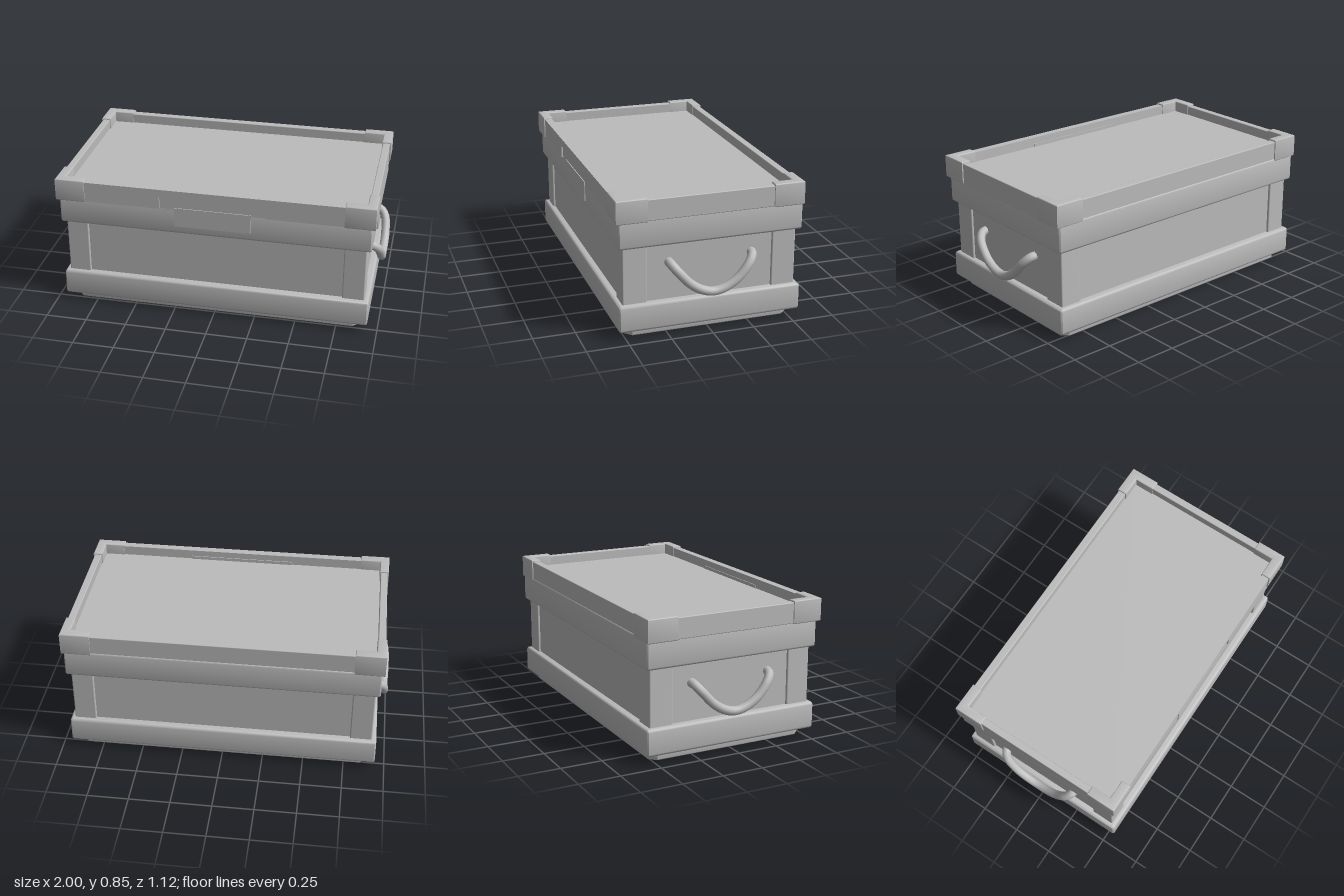
import * as THREE from 'three';
import { toCreasedNormals } from 'three/addons/utils/BufferGeometryUtils.js';
import { RoundedBoxGeometry } from 'three/addons/geometries/RoundedBoxGeometry.js';

const grey = new THREE.MeshStandardMaterial({ color: 0xbcbcbc });
grey.name = 'crate grey';

export function createModel() {
  const group = new THREE.Group();
  const add = (name, geometry) => {
    const mesh = new THREE.Mesh(geometry, grey);
    mesh.name = name;
    group.add(mesh);
    return mesh;
  };

  // Box given by its limits on each axis, with an optional small edge radius
  const block = (name, x0, x1, y0, y1, z0, z1, r = 0) => {
    const size = [x1 - x0, y1 - y0, z1 - z0];
    const geo = r ? new RoundedBoxGeometry(...size, 2, r) : new THREE.BoxGeometry(...size);
    geo.translate((x0 + x1) / 2, (y0 + y1) / 2, (z0 + z1) / 2);
    return add(name, geo);
  };

  // Outline in (x, z), extruded upwards from y0 to y1 with a soft edge
  const slab = (name, points, y0, y1, bevel) => {
    const shape = new THREE.Shape(points.map(([x, z]) => new THREE.Vector2(x, -z)));
    const geo = new THREE.ExtrudeGeometry(shape, {
      depth: y1 - y0 - 2 * bevel, bevelEnabled: true, bevelSize: bevel,
      bevelThickness: bevel, bevelOffset: -bevel, bevelSegments: 3,
    });
    geo.rotateX(-Math.PI / 2).translate(0, y0 + bevel, 0);
    return add(name, toCreasedNormals(geo, 0.6));
  };

  // Rectangle with cut corners
  const plan = (x, z0, z1, c) => [
    [-x + c, z1], [x - c, z1], [x, z1 - c], [x, z0 + c],
    [x - c, z0], [-x + c, z0], [-x, z0 + c], [-x, z1 - c],
  ];

  // Foot, lower band, recessed walls and upper band
  slab('foot', plan(0.89, -0.51, 0.49, 0.04), 0, 0.07, 0.006);
  slab('lowerBand', plan(0.941, -0.557, 0.541, 0.008), 0.045, 0.21, 0.018);
  block('walls', -0.9, 0.9, 0.15, 0.6, -0.515, 0.5);
  slab('upperBand', plan(0.941, -0.557, 0.541, 0.008), 0.55, 0.725, 0.015);

  // Corner posts
  for (const s of [-1, 1]) {
    const [x0, x1] = s > 0 ? [0.78, 0.914] : [-0.914, -0.78];
    block('frontCornerPost', x0, x1, 0.18, 0.58, 0.37, 0.514, 0.008);
    block('backCornerPost', x0, x1, 0.18, 0.58, -0.53, -0.385, 0.008);
  }

  // Recessed lid panel
  block('lidPanel', -0.93, 0.93, 0.7, 0.775, -0.53, 0.53);

  // Lid rails; the front one has a notch for the latch
  const rail = new THREE.Shape([
    [-0.8, 0.71], [-0.32, 0.71], [-0.32, 0.785], [0.32, 0.785],
    [0.32, 0.71], [0.8, 0.71], [0.8, 0.835], [-0.8, 0.835],
  ].map(([x, y]) => new THREE.Vector2(x, y)));
  const frontRail = new THREE.ExtrudeGeometry(rail, { depth: 0.047, bevelEnabled: false });
  add('frontRail', frontRail.translate(0, 0, 0.505));
  block('backRail', -0.8, 0.8, 0.71, 0.835, -0.552, -0.505, 0.005);
  for (const s of [-1, 1]) {
    const [x0, x1] = s > 0 ? [0.905, 0.949] : [-0.949, -0.905];
    block('sideRail', x0, x1, 0.71, 0.835, -0.4, 0.4, 0.005);
  }

  // Latch backing and plate
  block('latchBacking', -0.33, 0.33, 0.69, 0.795, 0.5, 0.541);
  block('latchPlate', -0.23, 0.23, 0.6, 0.72, 0.539, 0.546);

  // L-shaped lid corners
  for (const sx of [-1, 1]) for (const sz of [-1, 1]) {
    const corner = [
      [0.957, 0.559], [0.957, 0.376], [0.9, 0.376],
      [0.9, 0.5], [0.778, 0.5], [0.778, 0.559],
    ].map(([x, z]) => [x * sx, z * sz]);
    slab('lidCorner', corner, 0.707, 0.845, 0.006);
  }

  // Hanging carry handles
  for (const s of [-1, 1]) {
    const half = [
      [0.895, 0.435, 0.25], [0.93, 0.428, 0.244], [0.96, 0.392, 0.215],
      [0.972, 0.315, 0.145], [0.972, 0.267, 0.07],
    ];
    const points = [
      ...half, [0.97, 0.25, 0],
      ...half.map(([x, y, z]) => [x, y, -z]).reverse(),
    ].map(([x, y, z]) => new THREE.Vector3(x * s, y, z - 0.012));
    const curve = new THREE.CatmullRomCurve3(points);
    add('handle', new THREE.TubeGeometry(curve, 48, 0.027, 12, false));
  }
  return group;
}
